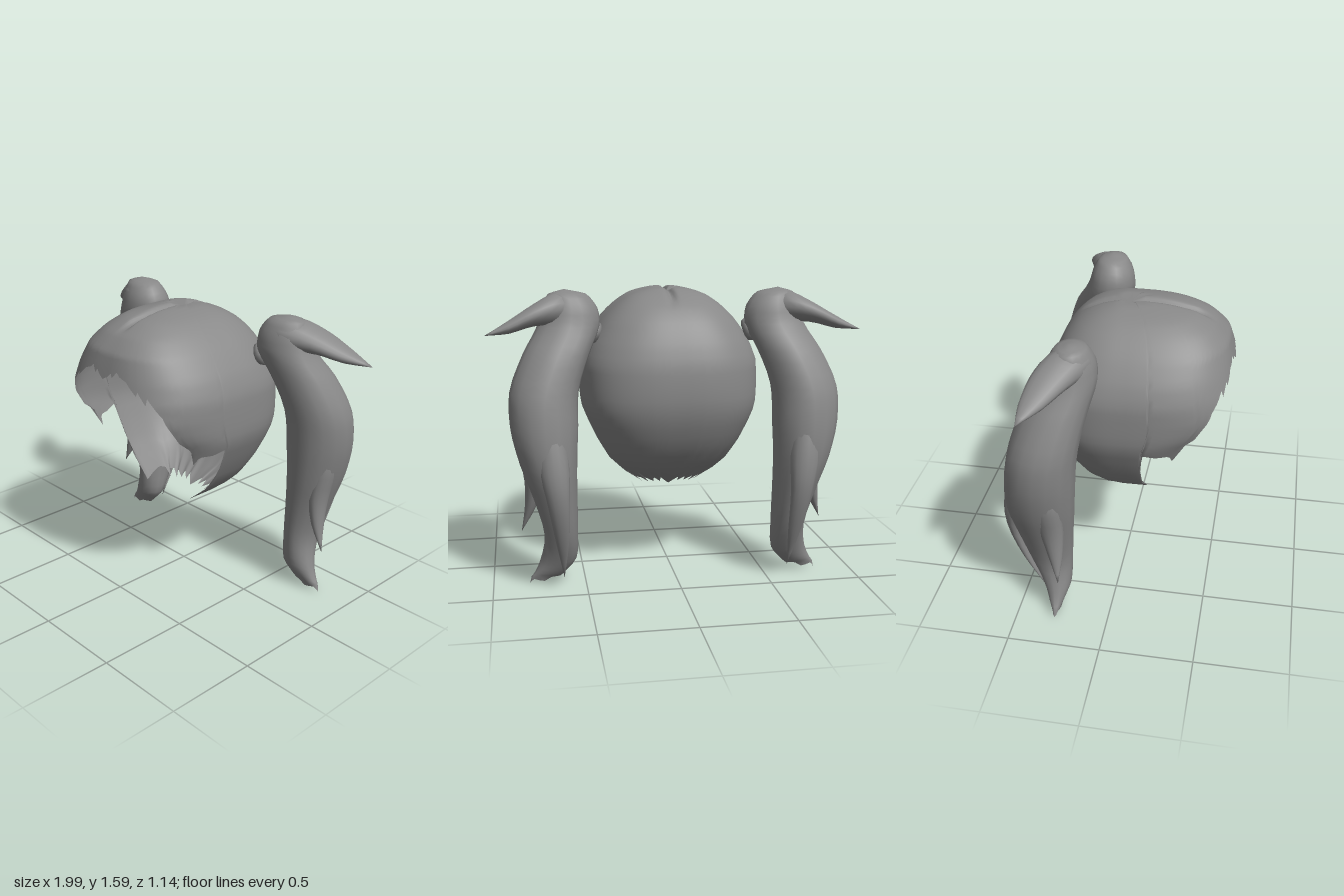
import * as THREE from 'three';
import { mergeVertices } from 'three/addons/utils/BufferGeometryUtils.js';

const hair = new THREE.MeshStandardMaterial({ color: 0x888888, side: THREE.DoubleSide });
hair.name = 'hairGrey';

// Joins rows of points into one smooth surface
function skin(rows, closed) {
  const n = rows[0].length, index = [];
  for (let r = 0; r < rows.length - 1; r++) {
    for (let c = 0; c < (closed ? n : n - 1); c++) {
      const a = r * n + c, b = r * n + (c + 1) % n;
      index.push(a, a + n, b, b, a + n, b + n);
    }
  }
  let g = new THREE.BufferGeometry();
  g.setAttribute('position', new THREE.Float32BufferAttribute(rows.flat(2), 3));
  g.setIndex(index);
  g = mergeVertices(g, 1e-4);
  g.computeVertexNormals();
  return g;
}

function add(parent, name, geometry) {
  const m = new THREE.Mesh(geometry, hair);
  m.name = name;
  parent.add(m);
  return m;
}

// Cap profile: height, half width, front depth, back depth
const profile = [
  [1.6, 0, 0, 0], [1.59, 0.09, 0.2, 0.07], [1.56, 0.2, 0.35, 0.17], [1.5, 0.29, 0.46, 0.27],
  [1.42, 0.37, 0.535, 0.34], [1.3, 0.45, 0.57, 0.40], [1.2, 0.487, 0.595, 0.43],
  [1.1, 0.49, 0.61, 0.44], [1.0, 0.49, 0.55, 0.44], [0.94, 0.483, 0.47, 0.43],
  [0.85, 0.447, 0.43, 0.40], [0.75, 0.4, 0.42, 0.35], [0.65, 0.34, 0.42, 0.28],
  [0.57, 0.26, 0.44, 0.19], [0.52, 0.19, 0.48, 0.09], [0.47, 0.13, 0.5, 0.04],
];
// Lower edge: angle from the front, height, extra drop of a pointed tip
const rim = [
  [0, 1.33, 0.04], [3.5, 1.33, 0], [4.5, 1.33, 0.02], [7.5, 1.335, -0.01], [10, 1.325, 0],
  [15, 1.31, 0], [18, 1.295, 0.01], [23, 1.27, 0.02], [24, 1.265, -0.005], [30, 1.23, 0.02],
  [31, 1.23, -0.015], [37, 1.19, 0], [42, 1.15, 0], [46, 1.09, 0], [49, 1.0, 0], [52, 0.94, 0],
  [54.5, 0.9, 0.06], [58, 0.9, 0.02], [61, 0.89, 0], [70, 0.89, 0], [79, 0.91, 0], [79.7, 0.75, 0],
  [80, 0.62, 0], [80.5, 0.55, 0.04], [90, 0.54, 0], [103, 0.53, 0], [112, 0.525, 0.035],
  [116, 0.525, 0], [130, 0.525, 0], [138, 0.525, 0.035], [142, 0.525, 0], [154, 0.525, 0.03],
  [160, 0.525, 0], [168, 0.525, 0.03], [171, 0.525, 0], [180, 0.525, 0.045],
];

function capPoint(deg, y) {
  const depth = (v) => Math.sqrt(Math.max(0, 1.6 - v));
  let i = 1;
  while (i < profile.length - 1 && y < profile[i][0]) i++;
  const a = profile[i - 1], b = profile[i];
  const f = (depth(y) - depth(a[0])) / (depth(b[0]) - depth(a[0]));
  const [, w, front, back] = a.map((v, k) => v + (b[k] - v) * f);
  const s = Math.sin(deg * Math.PI / 180), c = Math.cos(deg * Math.PI / 180);
  const x = Math.sign(s) * Math.abs(s) ** 0.74 * w;
  const z = Math.sign(c) * Math.abs(c) ** 0.74 * (c > 0 ? front : back);
  // shallow parting along the crown
  const part = 0.027 * Math.exp(-((x / 0.018) ** 2)) * THREE.MathUtils.smoothstep(y, 1.5, 1.57);
  return [x, y - part, z];
}

function capGeometry() {
  const half = [rim[0]];
  for (let i = 1; i < rim.length; i++) {
    const from = rim[i - 1], to = rim[i], steps = Math.ceil((to[0] - from[0]) / 2.5);
    for (let k = 1; k <= steps; k++) half.push(from.map((v, j) => v + (to[j] - v) * k / steps));
  }
  const columns = [...half.slice(1).reverse().map(([d, y, tip]) => [-d, y, tip]), ...half];
  const rows = [];
  for (let r = 0; r <= 28; r++) {
    const t = r / 28;
    rows.push(columns.map(([d, y, tip]) => capPoint(d, 1.6 - (1.6 - y) * t ** 1.6 + -tip * t ** 12)));
  }
  return skin(rows, false);
}

// Lofts elliptical rings [x, y, z, r1, r2] along a smooth path;
// rings lie flat, or upright for locks that run sideways
function lock(side, sections, { upright = false, jag = 0 } = {}) {
  const path = new THREE.CatmullRomCurve3(sections.map((s) => new THREE.Vector3(s[0], s[1], s[2])));
  const size = new THREE.CatmullRomCurve3(sections.map((s) => new THREE.Vector3(s[3], s[4], 0)));
  const steps = (sections.length - 1) * 3, rows = [];
  for (let i = 0; i <= steps; i++) {
    const p = path.getPoint(i / steps), q = size.getPoint(i / steps);
    const row = [];
    for (let k = 0; k < 16; k++) {
      const a = k / 16 * Math.PI * 2;
      const u = Math.max(0, q.x) * Math.cos(a), v = Math.max(0, q.y) * Math.sin(a);
      // three mirrored teeth, lowest on the outside
      const tooth = i === steps ? jag * Math.cos(a * 4) + u * 0.2 : 0;
      row.push([side * (p.x + (upright ? 0 : u)), p.y + (upright ? u : 0) - tooth, p.z + v]);
    }
    rows.push(row);
  }
  return skin(rows, true);
}

const tail = [
  [0.58, 1.6, -0.2, 0, 0], [0.565, 1.575, -0.2, 0.1, 0.08], [0.55, 1.5, -0.2, 0.145, 0.12],
  [0.56, 1.41, -0.21, 0.165, 0.14], [0.63, 1.27, -0.27, 0.175, 0.165],
  [0.7, 1.08, -0.325, 0.18, 0.178], [0.705, 0.9, -0.35, 0.177, 0.185],
  [0.688, 0.7, -0.36, 0.15, 0.18], [0.655, 0.5, -0.35, 0.115, 0.15],
  [0.63, 0.3, -0.33, 0.09, 0.115], [0.647, 0.15, -0.3, 0.098, 0.075],
  [0.69, 0.08, -0.295, 0.085, 0.045], [0.725, 0.04, -0.29, 0.08, 0.022],
];
const flick = [
  [0.46, 1.47, -0.16, 0.05, 0.05], [0.6, 1.5, -0.205, 0.09, 0.115], [0.74, 1.472, -0.27, 0.058, 0.098],
  [0.87, 1.418, -0.325, 0.034, 0.06], [0.995, 1.38, -0.37, 0, 0],
];
const outerLock = [
  [0.77, 0.98, -0.33, 0.05, 0.06], [0.79, 0.8, -0.31, 0.06, 0.075], [0.768, 0.6, -0.29, 0.05, 0.065],
  [0.787, 0.45, -0.27, 0.032, 0.04], [0.84, 0.3, -0.25, 0, 0],
];
const backLock = [
  [0.68, 0.97, -0.44, 0.06, 0.06], [0.67, 0.75, -0.485, 0.08, 0.07], [0.65, 0.55, -0.52, 0.06, 0.045],
  [0.63, 0.3, -0.47, 0.035, 0.022], [0.62, 0.07, -0.38, 0, 0],
];

export function createModel() {
  const model = new THREE.Group();
  model.name = 'pigtailHair';
  add(model, 'hairCap', capGeometry());

  for (const [label, side] of [['left', 1], ['right', -1]]) {
    const group = new THREE.Group();
    group.name = label + 'Pigtail';
    add(group, 'tail', lock(side, tail, { jag: 0.012 }));
    add(group, 'flick', lock(side, flick, { upright: true }));
    add(group, 'outerLock', lock(side, outerLock));
    add(group, 'backLock', lock(side, backLock));
    // band between the cap and the tail
    const band = add(group, 'hairBand', new THREE.TorusGeometry(0.036, 0.032, 8, 16));
    band.position.set(side * 0.43, 1.37, -0.17);
    band.quaternion.setFromUnitVectors(
      new THREE.Vector3(0, 0, 1), new THREE.Vector3(side * 0.85, 0.35, -0.25).normalize());
    model.add(group);
  }
  return model;
}
